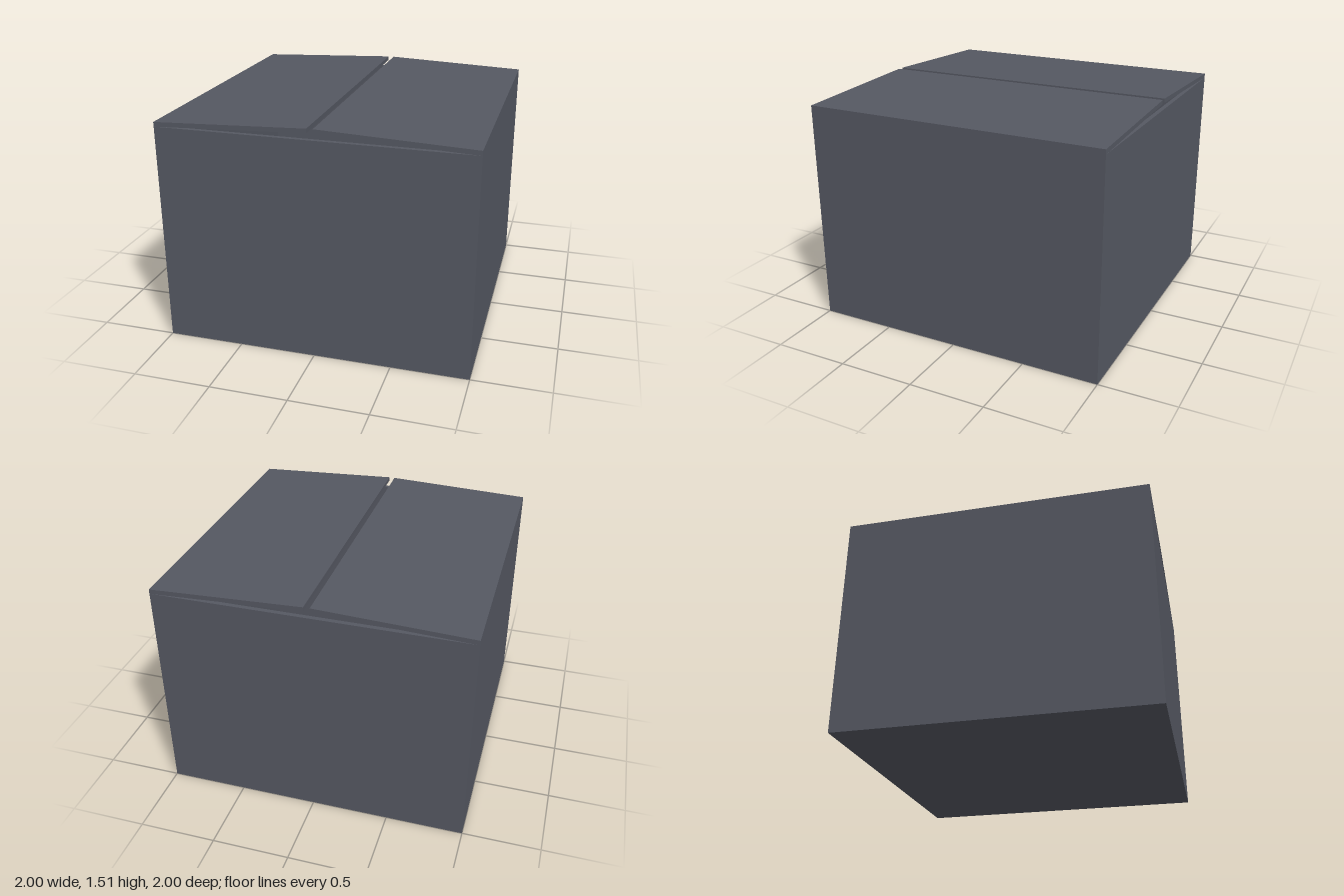
import * as THREE from 'three';

export function createModel() {
  const model = new THREE.Group();
  const material = new THREE.MeshStandardMaterial({ color: 0x555862 });
  const wall = 0.03, rim = 1.445;

  const add = (name, geometry) => {
    const mesh = new THREE.Mesh(geometry, material);
    mesh.name = name;
    model.add(mesh);
    return mesh;
  };
  const square = (Type, h) => new Type(
    [[-h, -h], [h, -h], [h, h], [-h, h]].map(([x, y]) => new THREE.Vector2(x, y)));

  // Four walls: one square ring raised to the rim
  const ring = square(THREE.Shape, 1);
  ring.holes.push(square(THREE.Path, 1 - wall));
  add('walls', new THREE.ExtrudeGeometry(ring, { depth: rim, bevelEnabled: false })
    .rotateX(-Math.PI / 2));

  // Floor panel inside the walls
  const inner = 2 * (1 - wall);
  add('floor', new THREE.BoxGeometry(inner, wall, inner).translate(0, wall / 2, 0));

  // Two lid flaps, hinged on the side walls and raised slightly at the middle
  const profile = [[1, rim], [1, 1.475], [0.02, 1.515], [0.02, 1.487]];
  for (const [name, side] of [['leftFlap', 1], ['rightFlap', -1]]) {
    const shape = new THREE.Shape(profile.map(([x, y]) => new THREE.Vector2(side * x, y)));
    add(name, new THREE.ExtrudeGeometry(shape, { depth: 2, bevelEnabled: false })
      .translate(0, 0, -1));
  }

  return model;
}
